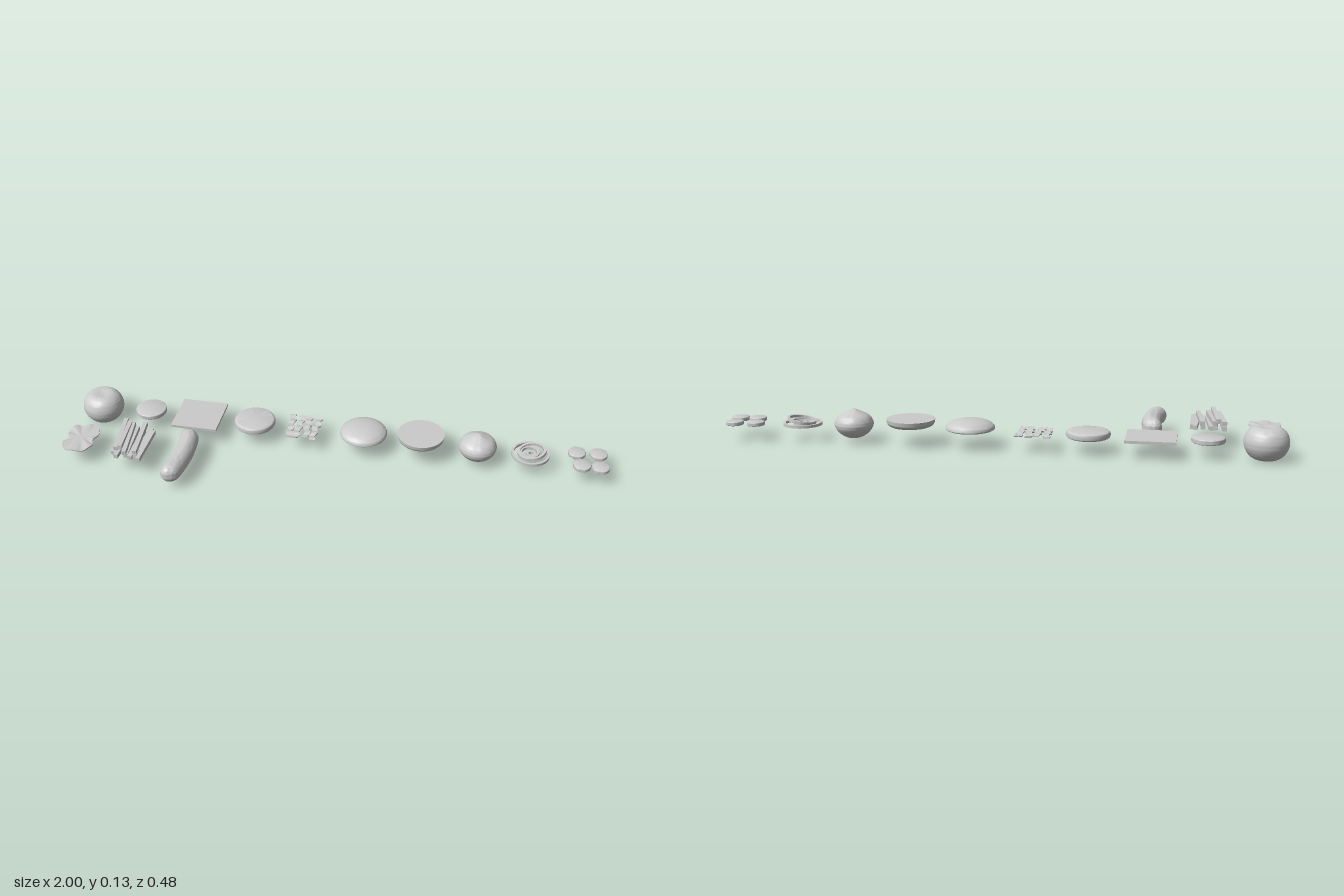
import * as THREE from 'three';
import { toCreasedNormals } from 'three/addons/utils/BufferGeometryUtils.js';

const material = new THREE.MeshStandardMaterial({ color: 0xcccccc });

function addMesh(parent, name, geometry, x, y, z) {
  const mesh = new THREE.Mesh(toCreasedNormals(geometry, 0.7), material);
  mesh.name = name;
  mesh.position.set(x, y, z);
  parent.add(mesh);
  return mesh;
}

function addGroup(parent, name, x, y, z) {
  const group = new THREE.Group();
  group.name = name;
  group.position.set(x, y, z);
  parent.add(group);
  return group;
}

// Move every vertex by a rule
function deform(geometry, rule) {
  const p = geometry.attributes.position;
  const v = new THREE.Vector3();
  for (let i = 0; i < p.count; i++) {
    rule(v.fromBufferAttribute(p, i));
    p.setXYZ(i, v.x, v.y, v.z);
  }
  return geometry;
}

const lathe = (points, segments = 40) =>
  new THREE.LatheGeometry(points.map(([r, y]) => new THREE.Vector2(r, y)), segments);

// Smooth profile through a few points, from bottom pole to top pole
function smoothLathe(points) {
  const curve = new THREE.SplineCurve(points.map(([r, y]) => new THREE.Vector2(r, y)));
  return lathe(curve.getPoints(36).map((p) => [Math.max(p.x, 0), p.y]));
}

// Flat disc with rounded rim
function roundedDisc(radius, height, bevel) {
  const points = [[0, -height / 2]];
  for (const side of [-1, 1]) {
    for (let i = 0; i <= 5; i++) {
      const a = ((side < 0 ? i - 5 : i) / 5) * Math.PI / 2;
      points.push([radius - bevel + bevel * Math.cos(a), side * (height / 2 - bevel) + bevel * Math.sin(a)]);
    }
  }
  points.push([0, height / 2]);
  return lathe(points);
}

export function createModel() {
  const model = new THREE.Group();
  model.name = 'burgerIngredients';
  const row = -0.152;

  // Whole tomato with a dimpled top
  addMesh(model, 'tomato', smoothLathe([
    [0, 0.003], [0.03, 0.001], [0.06, 0.018], [0.077, 0.055], [0.069, 0.092],
    [0.046, 0.112], [0.022, 0.114], [0, 0.109],
  ]), -0.922, 0, row);

  addMesh(model, 'tomatoSlice', roundedDisc(0.058, 0.018, 0.004), -0.729, 0.062, row);
  addMesh(model, 'cheeseSlice', new THREE.BoxGeometry(0.174, 0.01, 0.174), -0.536, 0.062, row);
  addMesh(model, 'patty', roundedDisc(0.078, 0.026, 0.012), -0.319, 0.065, row);

  // Bacon: four rippled strips
  const bacon = addGroup(model, 'bacon', -0.132, 0.062, row);
  for (let i = 0; i < 4; i++) {
    const strip = deform(new THREE.BoxGeometry(0.022, 0.004, 0.14, 1, 1, 28), (v) => {
      v.x += 0.004 * Math.sin(v.z * 130 + i * 1.7);
      v.y += 0.0025 * Math.sin(v.z * 180 + i);
    });
    const mesh = addMesh(bacon, 'baconStrip', strip, -0.047 + i * 0.0315, 0, (i % 2) * 0.006 - 0.003);
    mesh.rotation.y = [0.04, -0.07, 0.08, -0.04][i];
  }

  // Top bun: dome with flat underside
  const dome = [[0, 0.064], [0.082, 0.064], [0.087, 0.067]];
  for (let i = 0; i <= 14; i++) {
    const a = (i / 14) * Math.PI / 2;
    dome.push([0.088 * Math.cos(a), 0.07 + 0.033 * Math.sin(a)]);
  }
  addMesh(model, 'topBun', lathe(dome), 0.098, 0, row);

  // Bottom bun: flat top, rounded lower edge
  const base = [[0, 0.068]];
  for (let i = 0; i <= 10; i++) {
    const a = (i / 10) * Math.PI / 2;
    base.push([0.065 + 0.021 * Math.sin(a), 0.088 - 0.02 * Math.cos(a)]);
  }
  base.push([0.087, 0.095], [0, 0.095]);
  addMesh(model, 'bottomBun', lathe(base), 0.313, 0, row);

  // Whole onion with pointed tip
  addMesh(model, 'onion', smoothLathe([
    [0, 0.018], [0.028, 0.021], [0.056, 0.04], [0.07, 0.068], [0.058, 0.095],
    [0.032, 0.11], [0.012, 0.12], [0, 0.126],
  ]), 0.523, 0, row);

  // Onion rings: nested bands, one leaning
  const rings = addGroup(model, 'onionRings', 0.716, 0.062, row);
  const ringData = [
    [0.07, 0, 0, 0, 0], [0.052, 0.004, 0.012, 0.002, 0.17],
    [0.036, -0.004, 0.001, -0.004, 0.03], [0.018, 0.002, 0, 0.003, 0],
  ];
  for (const [r, x, y, z, lean] of ringData) {
    const w = 0.009, h = 0.005;
    const band = lathe([[r - w, -h], [r, -h], [r, h], [r - w, h], [r - w, -h]]);
    addMesh(rings, 'onionRing', band, x, y, z).rotation.z = lean;
  }

  // Pickle slices
  const pickles = addGroup(model, 'pickles', 0, 0.063, 0);
  for (const [x, z] of [[0.882, -0.187], [0.96, -0.192], [0.902, -0.115], [0.968, -0.115]]) {
    addMesh(pickles, 'pickleSlice', roundedDisc(0.032, 0.014, 0.003), x, 0, z);
  }

  // Lettuce leaf: thin disc pushed out to a lobed outline and rippled
  const outline = new THREE.CatmullRomCurve3([
    [10, -2], [9, 2], [10.5, 8], [8, 13], [3, 15.5], [-4, 15.5], [-9, 12], [-11, 7],
    [-9, 2], [-10.5, -3], [-10.5, -9], [-7, -13], [-2, -13], [3, -15.5], [8, -13], [10.5, -7],
  ].map(([x, z]) => new THREE.Vector3(x * 0.00535, 0, z * 0.00535)), true);
  const t = 0.0025;
  const leaf = deform(
    lathe([[0, -t], [0.35, -t], [0.7, -t], [1, -t], [1, t], [0.7, t], [0.35, t], [0, t]], 64),
    (v) => {
      const r = Math.hypot(v.x, v.z);
      // Reversed parameter keeps the winding of the lathe
      const u = (Math.atan2(v.z, v.x) / (2 * Math.PI) + 1) % 1;
      const edge = outline.getPoint(u);
      v.x = edge.x * r;
      v.z = edge.z * r;
      v.y += 0.003 * r * Math.sin(u * Math.PI * 16);
    });
  addMesh(model, 'lettuceLeaf', leaf, -0.928, 0.063, 0.07);

  // Fries: loose pile, each [x, y, z, length, yaw, pitch]
  const fries = addGroup(model, 'fries', -0.73, 0, 0.067);
  const fryData = [
    [-0.05, 0.07, -0.005, 0.17, 0.06, 0], [-0.026, 0.07, 0.008, 0.18, -0.05, 0],
    [-0.002, 0.07, 0.0, 0.175, 0.08, 0], [0.021, 0.07, 0.012, 0.17, 0.02, 0],
    [0.042, 0.07, 0.002, 0.17, -0.07, 0], [0.056, 0.07, 0.015, 0.175, -0.02, 0],
    [-0.045, 0.09, -0.012, 0.18, 0.11, 0], [-0.01, 0.088, 0.004, 0.185, 0.13, 0],
    [0.03, 0.088, -0.004, 0.18, 0.09, 0], [-0.024, 0.099, 0.002, 0.17, 0.1, -0.06],
  ];
  for (const [x, y, z, length, yaw, pitch] of fryData) {
    const fry = addMesh(fries, 'fry', new THREE.BoxGeometry(0.016, 0.016, length), x, y, z);
    fry.rotation.set(pitch, yaw, 0);
  }

  // Sausage: capsule along z, gently bent
  const sausage = new THREE.CapsuleGeometry(0.035, 0.203, 12, 28, 14);
  sausage.rotateX(Math.PI / 2);
  deform(sausage, (v) => {
    v.x += 0.008 - 0.9 * v.z * v.z - 0.04 * v.z;
    v.y -= 0.012 * v.z;
  });
  addMesh(model, 'sausage', sausage, -0.535, 0.061, 0.099);

  return model;
}
